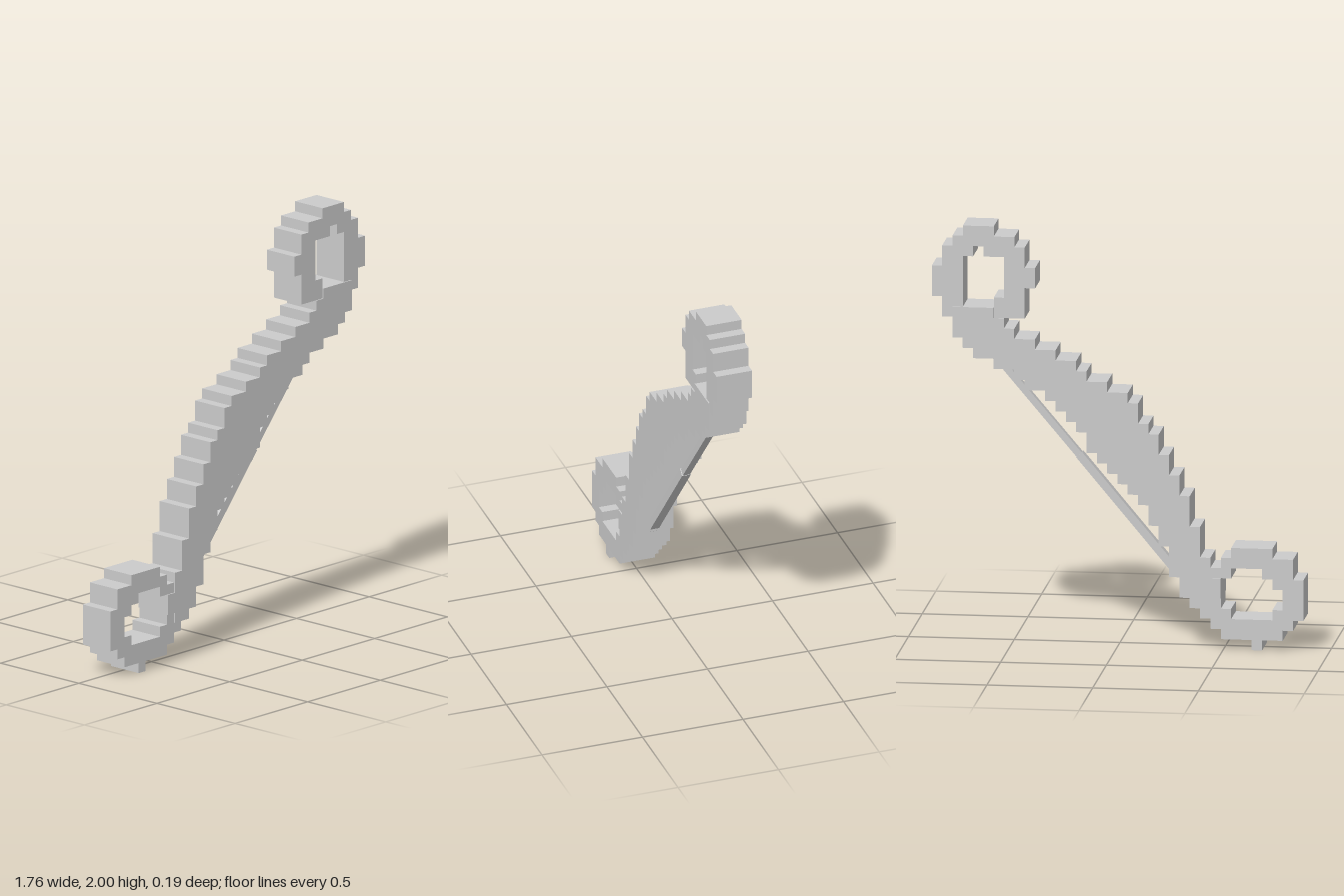
import * as THREE from 'three';

const U = 2 / 41; // grid cell size

// Stepped closed outline from rows of [left, right] cells, starting at row y0
function steppedPoints(y0, rows) {
  const right = [], left = [];
  rows.forEach(([l, r], i) => {
    const a = (y0 + i) * U, b = (y0 + i + 1) * U;
    right.push(new THREE.Vector2(r * U, a), new THREE.Vector2(r * U, b));
    left.push(new THREE.Vector2(l * U, a), new THREE.Vector2(l * U, b));
  });
  // drop points lying on a straight side
  const pts = [...right, ...left.reverse()];
  return pts.filter((p, i) => {
    const q = pts[(i + pts.length - 1) % pts.length], n = pts[(i + 1) % pts.length];
    return Math.abs((p.x - q.x) * (n.y - p.y) - (p.y - q.y) * (n.x - p.x)) > 1e-9;
  });
}

function steppedSlab(name, material, depth, y0, rows, holeY = 0, holeRows = null) {
  const shape = new THREE.Shape(steppedPoints(y0, rows));
  if (holeRows) shape.holes.push(new THREE.Path(steppedPoints(holeY, holeRows)));
  const geo = new THREE.ExtrudeGeometry(shape, { depth, bevelEnabled: false });
  geo.translate(0, 0, -depth / 2);
  const mesh = new THREE.Mesh(geo, material);
  mesh.name = name;
  return mesh;
}

// Square bar between two points in the front plane
function bar(name, material, a, b, width, depth) {
  const dx = b[0] - a[0], dy = b[1] - a[1];
  const mesh = new THREE.Mesh(new THREE.BoxGeometry(width, Math.hypot(dx, dy), depth), material);
  mesh.position.set((a[0] + b[0]) / 2, (a[1] + b[1]) / 2, 0);
  mesh.rotation.z = -Math.atan2(dx, dy);
  mesh.name = name;
  return mesh;
}

export function createModel() {
  const group = new THREE.Group();
  group.name = 'curvedArmWithRings';
  const grey = new THREE.MeshStandardMaterial({ color: 0xcccccc });
  grey.name = 'grey';

  // Lower ring with its small foot
  group.add(steppedSlab('lowerRing', grey, 0.176, 0,
    [[-14, -13], [-16, -10], [-17, -9], [-18, -8], [-18, -8], [-18, -8], [-18, -8],
      [-17, -9], [-17, -10], [-15, -11]],
    3, [[-15, -11], [-16, -10], [-16, -10], [-15, -10], [-14, -11]]));

  // Upper ring
  group.add(steppedSlab('upperRing', grey, 0.176, 30,
    [[12, 16], [11, 16], [9, 17], [9, 17], [9, 18], [8, 18], [8, 18],
      [9, 17], [9, 17], [10, 16], [12, 15]],
    33, [[12, 15], [11, 15], [11, 15], [11, 15], [11, 15], [13, 14]]));

  // Bowed arm joining the rings
  group.add(steppedSlab('bowedArm', grey, 0.188, 4,
    [[-9, -7], [-10, -6], [-10, -6], [-9, -5], [-9, -5], [-8, -5], [-8, -4], [-8, -4],
      [-7, -3], [-7, -3], [-7, -2], [-6, -1], [-6, 0], [-5, 1], [-5, 2], [-4, 3],
      [-4, 3], [-3, 4], [-2, 5], [-2, 6], [-1, 7], [1, 9], [3, 10], [4, 12],
      [6, 14], [8, 15], [10, 16], [11, 16], [12, 16]]));

  // Taut string in two lengths
  group.add(bar('lowerString', grey, [-0.28, 0.34], [0.19, 0.9], 0.038, 0.044));
  group.add(bar('upperString', grey, [0.17, 0.875], [0.59, 1.37], 0.032, 0.036));
  return group;
}
